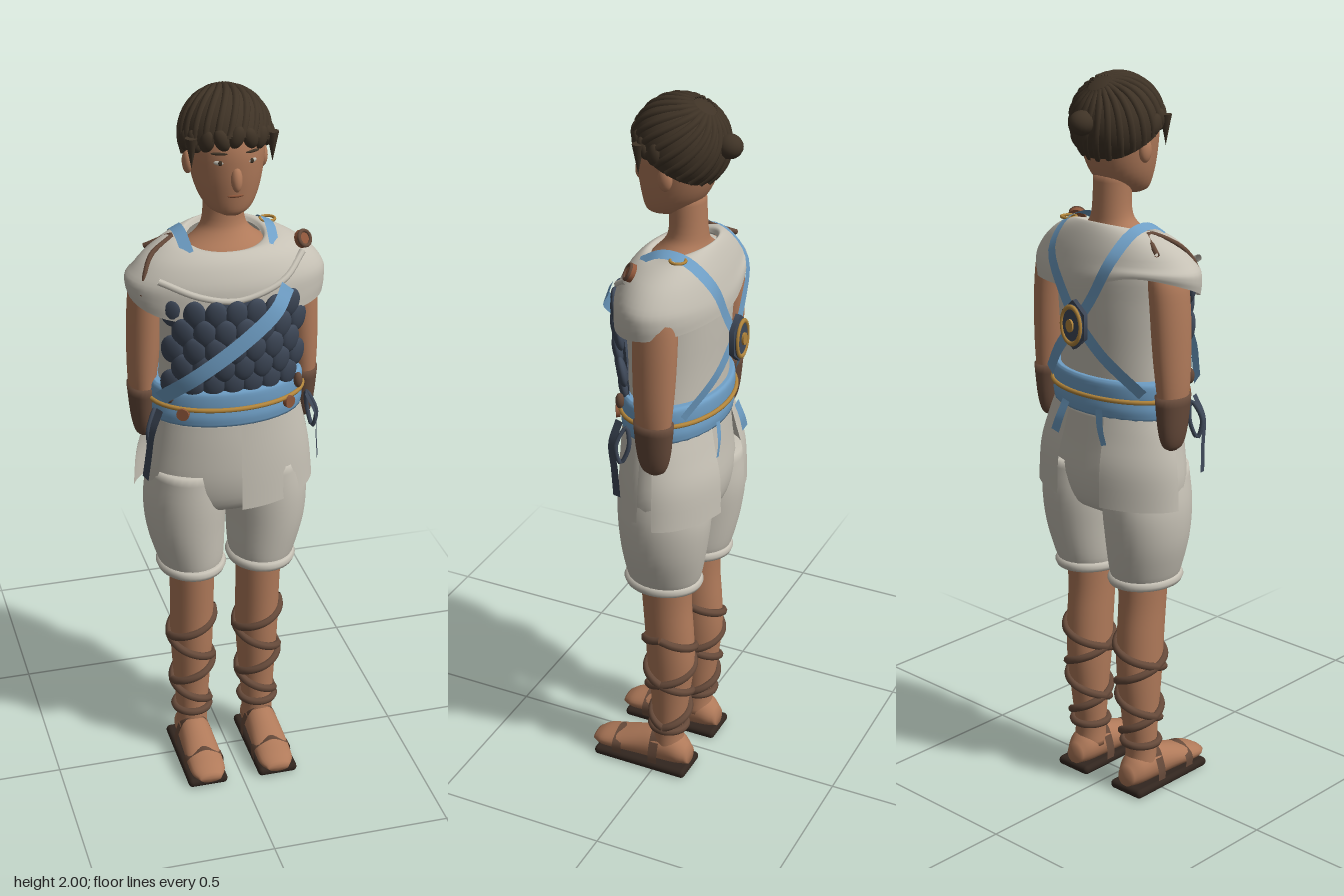
import * as THREE from 'three';
import { RoundedBoxGeometry } from 'three/addons/geometries/RoundedBoxGeometry.js';

const V = (x, y, z) => new THREE.Vector3(x, y, z);
const TAU = Math.PI * 2;
const material = (name, color, open) => {
  const m = new THREE.MeshStandardMaterial({ color });
  m.name = name;
  if (open) m.side = THREE.DoubleSide;
  return m;
};

// Smooth surface through elliptical sections [y, rx, rz, cx, cz, dip], bottom to top;
// dip raises the front and lowers the back. An arc (in degrees) makes an open shell.
function loft(sections, { segs = 32, arc = null, caps = true } = {}) {
  const size = new THREE.CatmullRomCurve3(sections.map(s => V(s[0], s[1], s[2])), false, 'catmullrom');
  const shift = new THREE.CatmullRomCurve3(sections.map(s => V(s[3] || 0, s[4] || 0, s[5] || 0)), false, 'catmullrom');
  const rows = (sections.length - 1) * 4, cols = arc ? segs + 1 : segs;
  const pos = [], idx = [];
  const [from, to] = arc ? arc.map(THREE.MathUtils.degToRad) : [0, TAU];
  for (let i = 0; i <= rows; i++) {
    const p = size.getPoint(i / rows), q = shift.getPoint(i / rows);
    for (let j = 0; j < cols; j++) {
      const a = from + (to - from) * j / segs;
      pos.push(q.x + p.y * Math.cos(a), p.x + q.z * Math.sin(a), q.y + p.z * Math.sin(a));
    }
  }
  for (let i = 0; i < rows; i++) for (let j = 0; j < segs; j++) {
    const a = i * cols + j, b = i * cols + (j + 1) % cols;
    idx.push(a, a + cols, b, b, a + cols, b + cols);
  }
  if (caps && !arc) for (const end of [0, rows]) {
    const p = size.getPoint(end / rows), q = shift.getPoint(end / rows), c = pos.length / 3;
    pos.push(q.x, p.x, q.y);
    for (let j = 0; j < segs; j++) {
      const a = end * cols + j, b = end * cols + (j + 1) % cols;
      end ? idx.push(c, b, a) : idx.push(c, a, b);
    }
  }
  const g = new THREE.BufferGeometry();
  g.setAttribute('position', new THREE.Float32BufferAttribute(pos, 3));
  g.setIndex(idx);
  g.computeVertexNormals();
  return g;
}

// Flat band along points, facing away from a centre
function ribbon(points, width, centre = V(0, 1.35, -0.02), n = 20) {
  const curve = new THREE.CatmullRomCurve3(points.map(p => V(...p)));
  const pos = [], idx = [];
  for (let i = 0; i <= n; i++) {
    const p = curve.getPoint(i / n);
    const w = curve.getTangent(i / n).cross(p.clone().sub(centre)).setLength(width / 2);
    pos.push(p.x + w.x, p.y + w.y, p.z + w.z, p.x - w.x, p.y - w.y, p.z - w.z);
    if (i < n) idx.push(2 * i, 2 * i + 2, 2 * i + 1, 2 * i + 1, 2 * i + 2, 2 * i + 3);
  }
  const g = new THREE.BufferGeometry();
  g.setAttribute('position', new THREE.Float32BufferAttribute(pos, 3));
  g.setIndex(idx);
  g.computeVertexNormals();
  return g;
}

const tube = (points, r, n = 24, closed = false) =>
  new THREE.TubeGeometry(new THREE.CatmullRomCurve3(points.map(p => V(...p)), closed), n, r, 8, closed);
const ring = (y, rx, rz, cx, cz, r) => tube(Array.from({ length: 16 }, (_, i) =>
  [cx + rx * Math.cos(i * TAU / 16), y, cz + rz * Math.sin(i * TAU / 16)]), r, 48, true);
const ball = (rx, ry, rz) => new THREE.SphereGeometry(1, 16, 12).scale(rx, ry, rz);
const disc = (r, depth, sides = 20) => new THREE.CylinderGeometry(r, r, depth, sides).rotateX(Math.PI / 2);

export function createModel() {
  const model = new THREE.Group();
  const skin = material('skin', 0xb07a5a), cream = material('cream cloth', 0xc6c1b5, true);
  const blue = material('blue cloth', 0x6f9fc6, true), slate = material('slate scale', 0x3e4858, true);
  const hair = material('dark brown hair', 0x3f3326, true), leather = material('leather', 0x664a3a, true);
  const gold = material('gold', 0xb3863c), sole = material('dark sole', 0x32261f), copper = material('copper', 0x8f573b);
  const add = (name, geo, mat, x = 0, y = 0, z = 0, parent = model) => {
    const m = new THREE.Mesh(geo, mat);
    m.name = name;
    m.position.set(x, y, z);
    parent.add(m);
    return m;
  };

  // Head, face and neck
  add('head', loft([[1.685, .028, .03, 0, .035], [1.70, .057, .058, 0, .018], [1.74, .08, .085, 0, 0], [1.80, .094, .104, 0, -.01],
    [1.87, .1, .11, 0, -.015], [1.94, .085, .09, 0, -.02], [1.975, .03, .03, 0, -.02]]), skin);
  add('neck', loft([[1.52, .17, .09, 0, -.025], [1.57, .13, .085, 0, -.025], [1.61, .075, .06, 0, -.035], [1.65, .055, .05, 0, -.04],
    [1.75, .052, .05, 0, -.035]]), skin);
  add('nose', ball(.015, .034, .016), skin, 0, 1.793, .092).rotation.x = -.2;
  add('mouth', ball(.022, .005, .006), copper, 0, 1.745, .082);
  for (const s of [-1, 1]) {
    add('ear', ball(.014, .032, .02), skin, s * .098, 1.81, -.02);
    add('eye', ball(.017, .007, .005), cream, s * .04, 1.836, .083).rotation.y = s * .35;
    add('iris', ball(.006, .007, .003), hair, s * .04, 1.836, .087);
    add('eyebrow', ball(.022, .004, .005), hair, s * .042, 1.86, .084).rotation.y = s * .35;
  }

  // Hair cap with combed ridges, fringe locks and bun
  const hairGroup = new THREE.Group();
  hairGroup.name = 'hair';
  model.add(hairGroup);
  add('hairCap', new THREE.SphereGeometry(1, 36, 20, 0, TAU, 0, Math.PI * .6).rotateX(-.55).scale(.117, .122, .127), hair, 0, 1.875, -.02, hairGroup);
  for (let i = 0; i < 22; i++) {
    const a = i * TAU / 22, points = [];
    for (let k = 0; k < 6; k++) {
      const t = .25 + k * .32, b = a + .12 * k;
      const p = V(Math.sin(t) * Math.cos(b), Math.cos(t), Math.sin(t) * Math.sin(b)).applyAxisAngle(V(1, 0, 0), -.55);
      points.push([p.x * .112, p.y * .118, p.z * .121]);
    }
    add('hairStrand', tube(points, .0105, 14), hair, 0, 1.875, -.02, hairGroup);
  }
  for (let i = -4; i <= 4; i++) {
    const a = i * .34;
    const lock = add('fringeLock', ball(.02, .03, .016), hair, Math.sin(a) * .11, 1.902 - Math.abs(a) * .02, -.02 + Math.cos(a) * .113, hairGroup);
    lock.rotation.set(.1, a, i % 2 ? .4 : -.3);
  }
  for (const s of [-1, 1])
    add('templeLock', new THREE.ConeGeometry(.016, .08, 10).rotateX(Math.PI), hair, s * .105, 1.855, .05, hairGroup);
  add('hairBun', ball(.033, .032, .036), hair, 0, 1.885, -.15, hairGroup);

  // Tunic and draped shoulder cape
  add('tunic', loft([[1.12, .19, .12, 0, -.012], [1.28, .18, .122, 0, -.015], [1.42, .186, .13, 0, -.015], [1.52, .19, .125, 0, -.02],
    [1.575, .14, .085, 0, -.03]]), cream);
  const cape = loft([[1.435, .262, .146, 0, -.02, -.018], [1.47, .267, .145, 0, -.02, -.012], [1.51, .262, .14, 0, -.02], [1.56, .222, .122, 0, -.025],
    [1.595, .165, .1, 0, -.03, -.01], [1.605, .115, .085, 0, -.03, -.022], [1.592, .1, .076, 0, -.03, -.022]], { segs: 48, caps: false });
  const cp = cape.attributes.position;
  for (let i = 0; i < cp.count; i++) {           // the hem rises behind the right shoulder
    const a = Math.atan2(cp.getZ(i) + .02, cp.getX(i)), y = cp.getY(i);
    const lift = Math.max(0, Math.cos(a + 2.6)) ** 4;
    if (y < 1.53) cp.setY(i, 1.53 - (1.53 - y) * (1 - .7 * lift));
  }
  cape.computeVertexNormals();
  add('shoulderCape', cape, cream);
  add('capeFold', tube([[-.2, 1.53, .075], [-.1, 1.49, .112], [0, 1.475, .122], [.12, 1.51, .105], [.19, 1.56, .045]], .009), cream);
  add('shoulderCord', tube([[-.2, 1.565, -.085], [-.135, 1.603, -.045], [-.2, 1.575, 0], [-.225, 1.53, .03], [-.235, 1.48, .04]], .007), leather);
  const brooch = new THREE.Group();
  brooch.name = 'brooch';
  brooch.position.set(.195, 1.588, .03);
  brooch.rotation.set(-.55, .5, 0);
  model.add(brooch);
  add('broochDisc', disc(.024, .014), copper, 0, 0, 0, brooch);
  add('broochRim', new THREE.TorusGeometry(.02, .005, 8, 20), leather, 0, 0, .007, brooch);

  // Scale armour: overlapping rows following the chest
  const armour = new THREE.Group();
  armour.name = 'scaleArmour';
  model.add(armour);
  add('armourBacking', loft([[1.2, .19, .128, 0, -.015], [1.3, .19, .14, 0, -.015], [1.4, .195, .15, 0, -.015], [1.48, .195, .14, 0, -.015]],
    { arc: [32, 148] }), slate, 0, 0, 0, armour);
  for (let row = 0; row < 5; row++) for (let col = -3; col <= 3; col++) {
    const x = col * .052 + (row % 2 ? .012 : -.012), y = 1.235 + row * .052;
    const bulge = .13 + .026 * Math.sin(Math.min(1, row / 3) * Math.PI / 2);
    const scale = add('scale', ball(.03, .042, .014), slate, x, y, -.018 + bulge * Math.sqrt(1 - (x / .215) ** 2), armour);
    scale.rotation.set(.18, x * 3.2, 0);
  }
  add('chestSash', ribbon([[-.2, 1.2, .075], [-.12, 1.28, .142], [0, 1.375, .166], [.09, 1.45, .155], [.13, 1.5, .12]], .042), blue);

  // Back harness with medallion
  for (const s of [-1, 1]) {
    add('shoulderStrap', ribbon([[s * .115, 1.585, .045], [s * .12, 1.618, -.02], [s * .12, 1.61, -.09], [s * .105, 1.545, -.158],
      [s * .05, 1.44, -.172], [0, 1.37, -.174]], .032), blue);
    add('lowerStrap', ribbon([[0, 1.37, -.174], [s * .08, 1.285, -.158], [s * .17, 1.19, -.105]], .034), blue);
    add('beltTail', ribbon([[s * .06, 1.14, -.155], [s * .075, 1.09, -.166], [s * .09, 1.05, -.168]], .025), blue);
  }
  add('strapRing', new THREE.TorusGeometry(.02, .004, 8, 20).rotateX(Math.PI / 2), gold, .128, 1.612, -.07);
  const medal = new THREE.Group();
  medal.name = 'backMedallion';
  medal.position.set(0, 1.365, 0);
  medal.scale.y = 1.45;
  model.add(medal);
  add('medallionBase', disc(.046, .014, 6), slate, 0, 0, -.181, medal);
  add('medallionPlate', disc(.038, .006, 24), slate, 0, 0, -.193, medal);
  add('medallionRing', new THREE.TorusGeometry(.034, .005, 8, 24), gold, 0, 0, -.195, medal);
  add('medallionStud', disc(.012, .006, 16), gold, 0, 0, -.2, medal);

  // Belt, cord, studs and hanging straps
  add('upperBelt', loft([[1.16, .2, .132, 0, -.012], [1.17, .208, .137, 0, -.012], [1.205, .208, .137, 0, -.012], [1.218, .198, .13, 0, -.012]]), blue);
  add('lowerBelt', loft([[1.115, .206, .134, 0, -.012], [1.14, .209, .137, 0, -.012], [1.165, .205, .134, 0, -.012]]), blue);
  add('beltCord', ring(1.167, .21, .14, 0, -.012, .0065), gold);
  for (const s of [-1, 1]) {
    add('beltStud', disc(.017, .012), copper, s * .145, 1.155, .096).rotation.y = s * .5;
    add('beltKnot', ball(.012, .022, .012), leather, s * .175, 1.205, .075);
    add('hangingStrap', ribbon([[s * .2, 1.16, .065], [s * .225, 1.1, .075], [s * .232, 1.03, .065], [s * .24, .955, .055]], .028, V(0, 1.05, -.02)), slate);
    add('strapLoop', tube([[s * .21, 1.15, .04], [s * .232, 1.1, .06], [s * .225, 1.05, .05], [s * .215, 1.1, .03]], .006, 24, true), slate);
  }

  // Baggy breeches with wrapped cloth panels
  add('breechesHips', loft([[.82, .16, .06, 0, -.02], [.85, .205, .11, 0, -.02], [.93, .22, .132, 0, -.018], [1.03, .206, .13, 0, -.013],
    [1.13, .192, .124, 0, -.012]]), cream);
  add('frontPanel', loft([[.89, .242, .142, 0, -.015, -.03], [1, .23, .14, 0, -.014, -.015], [1.12, .203, .133, 0, -.012]], { arc: [5, 88] }), cream);
  for (const arc of [[190, 252], [288, 350]])
    add('hipPanel', loft([[.875, .254, .16, 0, -.022], [.98, .246, .158, 0, -.02], [1.06, .226, .145, 0, -.014], [1.12, .203, .133, 0, -.012]], { arc }), cream);

  for (const s of [-1, 1]) {
    // Arms and bracers
    add('arm', loft([[1.12, .028, .04, s * .222, -.045], [1.2, .037, .05, s * .222, -.045], [1.3, .044, .057, s * .217, -.045],
      [1.42, .047, .06, s * .21, -.045], [1.5, .045, .055, s * .2, -.045], [1.545, .02, .03, s * .185, -.045]]), skin);
    add('bracer', loft([[1.04, .01, .015, s * .222, -.045], [1.055, .022, .034, s * .222, -.045], [1.1, .032, .047, s * .222, -.045],
      [1.19, .041, .056, s * .222, -.045]], { segs: 24 }), leather);

    // Breeches legs, gathered at the knee
    add('breechesLeg', loft([[.635, .08, .095, s * .1, -.015], [.67, .093, .106, s * .103, -.018], [.76, .108, .121, s * .113, -.022],
      [.86, .113, .13, s * .114, -.024], [.96, .1, .125, s * .11, -.02]]), cream);
    add('kneeCuff', ring(.642, .081, .096, s * .1, -.015, .016), cream);

    // Lower leg, foot and sandal
    add('lowerLeg', loft([[.07, .045, .046, s * .098, -.03], [.13, .044, .044, s * .098, -.028], [.22, .05, .053, s * .097, -.032],
      [.36, .059, .068, s * .096, -.034], [.46, .061, .07, s * .096, -.03], [.56, .062, .07, s * .096, -.023], [.66, .066, .074, s * .097, -.02]]), skin);
    add('foot', loft([[-.097, .025, .026, 0, -.048], [-.06, .044, .047, 0, -.064], [0, .047, .052, 0, -.066], [.06, .049, .043, 0, -.059],
      [.12, .051, .032, 0, -.049], [.17, .048, .024, 0, -.042], [.2, .03, .012, 0, -.036]], { segs: 24 }).rotateX(Math.PI / 2), skin, s * .1);
    add('sandalSole', new RoundedBoxGeometry(.114, .026, .288, 3, .012), sole, s * .103, .013, .042);
    for (const [z, h] of [[.115, .085], [.0, .122]])
      add('sandalStrap', ribbon([[s * .1 - .054, .02, z], [s * .1 - .053, .055, z], [s * .1 - .028, h - .01, z], [s * .1, h, z],
        [s * .1 + .028, h - .01, z], [s * .1 + .053, .055, z], [s * .1 + .054, .02, z]], .028, V(s * .1, .04, z)), leather);
    add('ankleBand', ring(.145, .049, .05, s * .098, -.029, .011), leather);

    // Two opposed spirals make the crossing leg wraps
    for (const turn of [-1, 1]) {
      const points = [];
      for (let i = 0; i <= 32; i++) {
        const t = i / 32, a = turn * t * 2 * TAU, grow = Math.sin((1 - t * .9) * Math.PI / 2);
        points.push([s * .097 + (.047 + .016 * grow) * Math.cos(a), .465 - t * .31, -.032 + (.045 + .027 * grow) * Math.sin(a)]);
      }
      add('legWrap', tube(points, .0115, 96), leather);
    }
  }
  return model;
}
